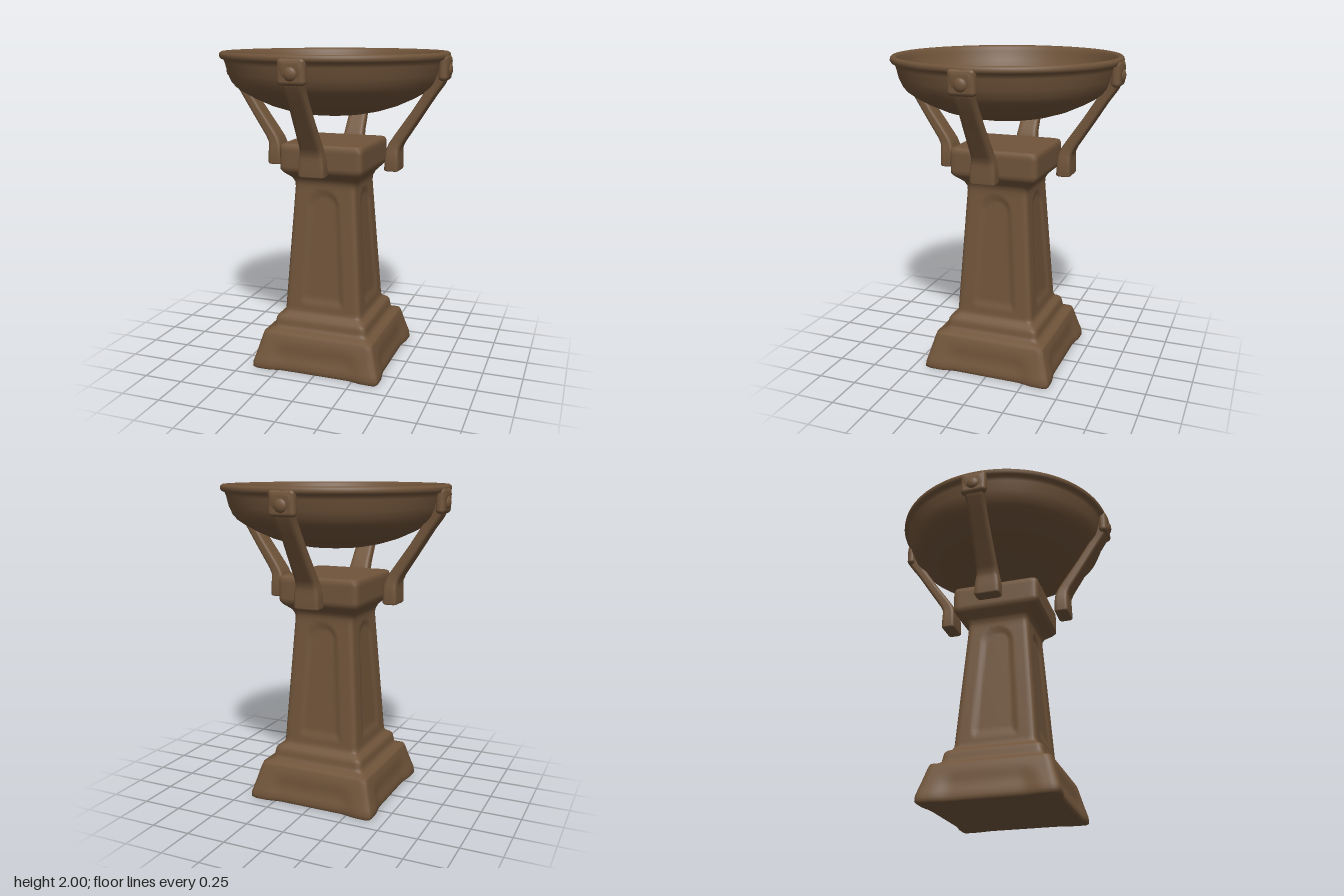
import * as THREE from 'three';
import { RoundedBoxGeometry } from 'three/addons/geometries/RoundedBoxGeometry.js';

const { clamp, smoothstep, lerp } = THREE.MathUtils;

// Skin over a stack of closed rings, with flat caps at both ends
function loft(rings) {
  const n = rings[0].length, pos = [], index = [];
  rings.forEach(r => r.forEach(p => pos.push(p.x, p.y, p.z)));
  for (let i = 0; i < rings.length - 1; i++) {
    for (let j = 0; j < n; j++) {
      const a = i * n + j, b = i * n + (j + 1) % n;
      index.push(a, b, a + n, b, b + n, a + n);
    }
  }
  [rings[0], rings[rings.length - 1]].forEach((ring, end) => {
    const base = pos.length / 3;
    const c = ring.reduce((s, p) => s.add(p), new THREE.Vector3()).divideScalar(n);
    [...ring, c].forEach(p => pos.push(p.x, p.y, p.z));
    for (let j = 0; j < n; j++) {
      const a = base + j, b = base + (j + 1) % n;
      index.push(base + n, ...(end ? [a, b] : [b, a]));
    }
  });
  const g = new THREE.BufferGeometry();
  g.setAttribute('position', new THREE.Float32BufferAttribute(pos, 3));
  g.setIndex(index);
  g.computeVertexNormals();
  return g;
}

// Points around a rounded rectangle, counter-clockwise in (a, b)
function roundedRect(ha, hb, r, steps) {
  const pts = [];
  for (let side = 0; side < 4; side++) {
    for (let i = 0; i < steps; i++) {
      const u = -1 + 2 * i / steps;
      const [a, b] = [[u * ha, -hb], [ha, u * hb], [-u * ha, hb], [-ha, -u * hb]][side];
      const ca = clamp(a, r - ha, ha - r), cb = clamp(b, r - hb, hb - r);
      const k = r / (Math.hypot(a - ca, b - cb) || 1);
      pts.push({ a: ca + (a - ca) * k, b: cb + (b - cb) * k, u, side });
    }
  }
  return pts;
}

// Depth of the shallow arched panel on each shaft face
function panelDepth(x, y) {
  const w = lerp(0.145, 0.105, clamp((y - 0.42) / 0.63, 0, 1));
  const inside = Math.min(y - 0.42, w - (y < 1.05 ? Math.abs(x) : Math.hypot(x, y - 1.05)));
  return 0.012 * smoothstep(inside, 0, 0.03);
}

function pedestalGeometry() {
  // half width, height, corner radius
  const profile = [
    [0.41, 0, 0.02], [0.42, 0.01, 0.02], [0.418, 0.045, 0.02], [0.395, 0.12, 0.02],
    [0.37, 0.21, 0.02], [0.36, 0.238, 0.025], [0.325, 0.25, 0.03], [0.31, 0.265, 0.03],
    [0.3, 0.32, 0.03], [0.29, 0.333, 0.03], [0.265, 0.347, 0.03], [0.254, 0.37, 0.03],
    [0.2, 1.17, 0.03], [0.202, 1.2, 0.03], [0.215, 1.23, 0.03], [0.255, 1.27, 0.03],
    [0.267, 1.29, 0.03], [0.267, 1.425, 0.03], [0.26, 1.444, 0.03], [0.245, 1.45, 0.03],
  ];
  const rows = [];
  profile.forEach((p, i) => {
    const q = profile[i + 1];
    const n = q ? Math.ceil((q[1] - p[1]) / 0.022) : 1;
    for (let k = 0; k < n; k++) rows.push(q ? p.map((v, c) => lerp(v, q[c], k / n)) : p);
  });
  return loft(rows.map(([h, y, r]) => {
    const deep = 1 + 0.06 * smoothstep(y, 1.2, 1.29);
    return roundedRect(h, h, r, 32).map(({ a, b, u, side }) => {
      const across = side % 2 ? b : a;
      // arched panel on the shaft, dished sides between the corner feet
      const inset = panelDepth(across, y)
        + 0.018 * smoothstep(1 - Math.abs(u), 0.2, 0.5) * (1 - smoothstep(y, 0.08, 0.2));
      const k = inset * [1, -1, -1, 1][side];
      const x = side % 2 ? a + k : a, z = side % 2 ? b : b + k;
      return new THREE.Vector3(x, y, -z * deep);
    });
  }));
}

// One bracket in the x-y plane, swept from foot to rim
function armGeometry() {
  // x, y, half thickness, half width, lean of the section from horizontal
  const sections = [
    [0.39, 1.28, 0.04, 0.076, 0], [0.39, 1.288, 0.045, 0.082, 0],
    [0.39, 1.36, 0.044, 0.08, 0], [0.392, 1.4, 0.042, 0.074, -0.12],
    [0.402, 1.435, 0.038, 0.068, -0.4], [0.425, 1.475, 0.035, 0.065, -0.58],
    [0.53, 1.63, 0.032, 0.06, -0.6], [0.61, 1.755, 0.032, 0.056, -0.58],
    [0.66, 1.83, 0.035, 0.06, -0.5], [0.685, 1.89, 0.036, 0.068, -0.3],
    [0.695, 1.95, 0.03, 0.07, 0], [0.695, 1.972, 0.02, 0.06, 0],
  ];
  return loft(sections.map(([x, y, t, w, lean]) =>
    roundedRect(t, w, Math.min(0.02, t * 0.7), 12).map(({ a, b }) =>
      new THREE.Vector3(x + a * Math.cos(lean), y + a * Math.sin(lean), -b))));
}

export function createModel() {
  const model = new THREE.Group();
  model.name = 'pedestalBowl';
  const bronze = new THREE.MeshStandardMaterial({ color: 0x70543a });
  bronze.name = 'aged bronze brown';
  const add = (parent, name, geometry) => {
    const mesh = new THREE.Mesh(geometry, bronze);
    mesh.name = name;
    parent.add(mesh);
    return mesh;
  };

  add(model, 'pedestal', pedestalGeometry());

  // Bowl: outside from the bottom up, over the rim, down the inside
  const bowl = [
    [0, 1.61], [0.1, 1.612], [0.2, 1.622], [0.3, 1.642], [0.4, 1.673], [0.5, 1.718],
    [0.57, 1.758], [0.615, 1.79], [0.64, 1.82], [0.662, 1.87], [0.676, 1.93], [0.684, 1.952],
    [0.703, 1.96], [0.711, 1.973], [0.709, 1.99], [0.697, 2], [0.68, 1.998],
    [0.668, 1.985], [0.66, 1.96], [0.64, 1.9], [0.605, 1.84], [0.54, 1.785], [0.46, 1.74],
    [0.36, 1.7], [0.24, 1.669], [0.12, 1.654], [0, 1.65],
  ].map(([x, y]) => new THREE.Vector2(x, y));
  add(model, 'bowl', new THREE.LatheGeometry(bowl, 96));

  // Four brackets with a collar and round boss below the rim
  const arm = armGeometry();
  const collar = new RoundedBoxGeometry(0.055, 0.15, 0.165, 4, 0.025);
  const boss = new THREE.SphereGeometry(0.042, 20, 14);
  ['left', 'back', 'right', 'front'].forEach((side, i) => {
    const bracket = new THREE.Group();
    bracket.name = side + 'Bracket';
    bracket.rotation.y = i * Math.PI / 2;
    add(bracket, 'arm', arm);
    add(bracket, 'collar', collar).position.set(0.692, 1.91, 0);
    const knob = add(bracket, 'boss', boss);
    knob.position.set(0.712, 1.9, 0);
    knob.scale.x = 0.6;
    model.add(bracket);
  });
  return model;
}
